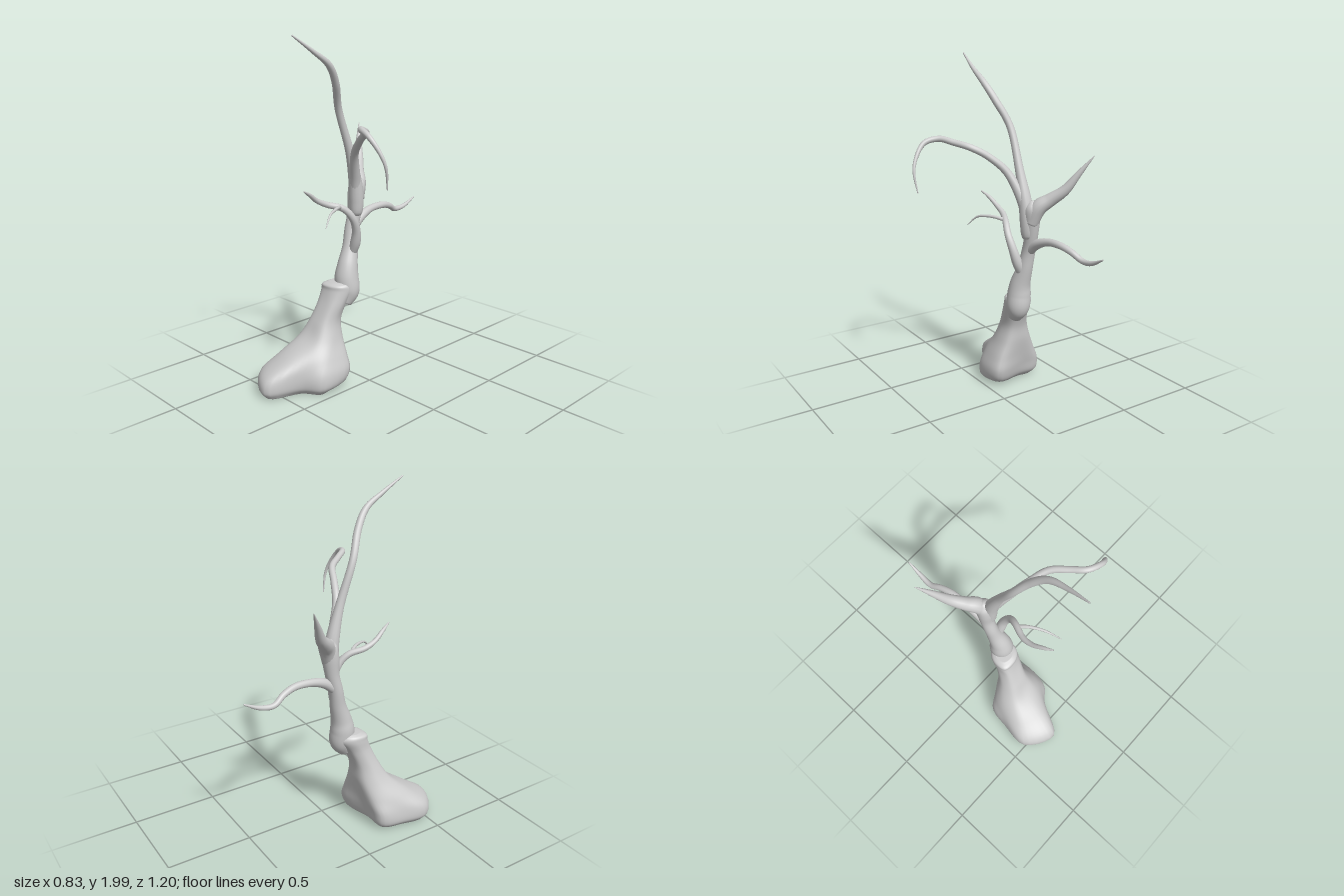
import * as THREE from 'three';

const material = new THREE.MeshStandardMaterial({ color: 0xcccccc, roughness: 0.9 });
const V = (x, y, z) => new THREE.Vector3(x, y, z);
const smoothCurve = (points, closed = false) => new THREE.CatmullRomCurve3(points, closed, 'catmullrom', 0.5);

// Skin a list of equal-sized rings (counter-clockwise about the path) and cap both ends
function skin(name, rings) {
  const sides = rings[0].length, last = rings.length - 1;
  const points = rings.flat();
  const centre = (ring) => ring.reduce((sum, p) => sum.add(p), V(0, 0, 0)).divideScalar(sides);
  const start = points.push(centre(rings[0])) - 1;
  const end = points.push(centre(rings[last])) - 1;
  const index = [];
  for (let j = 0; j < sides; j++) {
    const k = (j + 1) % sides;
    for (let i = 0; i < last; i++) {
      const a = i * sides + j, b = i * sides + k, c = a + sides, d = b + sides;
      index.push(a, b, c, b, d, c);
    }
    index.push(start, k, j, end, last * sides + j, last * sides + k);
  }
  const geometry = new THREE.BufferGeometry().setFromPoints(points);
  geometry.setIndex(index);
  geometry.computeVertexNormals();
  const mesh = new THREE.Mesh(geometry, material);
  mesh.name = name;
  return mesh;
}

// Tapering limb through knots [x, y, z, radius]
function limb(name, knots, steps = 56, sides = 14) {
  const path = smoothCurve(knots.map(([x, y, z]) => V(x, y, z)));
  const girth = smoothCurve(knots.map((k) => V(k[3], 0, 0)));
  const { normals, binormals } = path.computeFrenetFrames(steps);
  const rings = [];
  for (let i = 0; i <= steps; i++) {
    const t = path.getUtoTmapping(i / steps);
    const p = path.getPoint(t), r = Math.max(girth.getPoint(t).x, 0.001);
    rings.push(Array.from({ length: sides }, (_, j) => {
      const a = (j / sides) * Math.PI * 2;
      return p.clone().addScaledVector(normals[i], r * Math.cos(a)).addScaledVector(binormals[i], r * Math.sin(a));
    }));
  }
  return skin(name, rings);
}

// Broad lobed base: each level is y, centre x, centre z, then radii every 45 degrees from +x towards +z
function stump() {
  const levels = [
    [0.01, -0.23, 0.32, 0.17, 0.11, 0.25, 0.22, 0.14, 0.15, 0.11, 0.17],
    [0.05, -0.23, 0.32, 0.20, 0.14, 0.275, 0.25, 0.17, 0.19, 0.15, 0.25],
    [0.12, -0.23, 0.31, 0.20, 0.15, 0.26, 0.24, 0.165, 0.19, 0.16, 0.27],
    [0.20, -0.21, 0.27, 0.16, 0.14, 0.18, 0.19, 0.155, 0.16, 0.14, 0.21],
    [0.30, -0.195, 0.21, 0.115, 0.11, 0.10, 0.125, 0.115, 0.11, 0.10, 0.13],
    [0.40, -0.185, 0.175, 0.085, 0.085, 0.075, 0.09, 0.085, 0.08, 0.075, 0.09],
    [0.50, -0.165, 0.13, 0.08, 0.075, 0.07, 0.09, 0.08, 0.075, 0.07, 0.08],
    [0.57, -0.155, 0.09, 0.08, 0.08, 0.085, 0.105, 0.085, 0.08, 0.09, 0.085],
    [0.60, -0.155, 0.09, 0.075, 0.075, 0.08, 0.10, 0.08, 0.075, 0.08, 0.075],
    [0.615, -0.15, 0.08, 0.05, 0.05, 0.06, 0.07, 0.06, 0.05, 0.05, 0.05],
  ];
  const sides = 40, rows = 54;
  const outlines = levels.map(([y, cx, cz, ...radii]) => smoothCurve(radii.map((r, i) => {
    const a = (i * Math.PI) / 4;
    return V(cx + r * Math.cos(a), y, cz + r * Math.sin(a));
  }), true));
  const columns = Array.from({ length: sides }, (_, j) => smoothCurve(outlines.map((o) => o.getPoint(1 - (j + 1) / sides))));
  const rings = Array.from({ length: rows + 1 }, (_, i) => columns.map((c) => c.getPoint(i / rows)));
  return skin('stump', rings);
}

export function createModel() {
  const tree = new THREE.Group();
  tree.name = 'bareTree';
  tree.add(
    stump(),
    // Upper trunk rising out of the stump
    limb('trunk', [
      [-0.13, 0.48, 0.08, 0.04], [-0.13, 0.55, 0.05, 0.068], [-0.138, 0.63, 0.05, 0.07], [-0.14, 0.7, 0.04, 0.06],
      [-0.15, 0.8, 0.01, 0.046], [-0.16, 0.9, -0.01, 0.04], [-0.16, 1.0, -0.035, 0.04], [-0.157, 1.1, -0.045, 0.048],
      [-0.155, 1.17, -0.055, 0.045], [-0.155, 1.21, -0.055, 0.015],
    ], 64, 24),
    // Tall leader with a rounded knot at its foot
    limb('topBranch', [
      [-0.145, 0.98, -0.03, 0.008], [-0.14, 1.0, -0.03, 0.034], [-0.137, 1.08, -0.03, 0.042], [-0.132, 1.2, -0.015, 0.038],
      [-0.125, 1.38, 0.035, 0.025], [-0.12, 1.6, 0.115, 0.021], [-0.065, 1.75, 0.185, 0.021],
      [-0.032, 1.85, 0.26, 0.018], [-0.03, 1.92, 0.365, 0.012], [-0.042, 2.0, 0.49, 0.004],
    ], 80),
    // Long branch arching over and drooping at the tip
    limb('archingBranch', [
      [-0.14, 1.08, -0.03, 0.03], [-0.115, 1.22, 0.0, 0.03], [-0.06, 1.36, 0.055, 0.023], [0.03, 1.45, 0.1, 0.02],
      [0.12, 1.505, 0.145, 0.019], [0.185, 1.53, 0.225, 0.018], [0.24, 1.547, 0.295, 0.017], [0.32, 1.525, 0.322, 0.015],
      [0.38, 1.45, 0.305, 0.011], [0.405, 1.37, 0.285, 0.008], [0.395, 1.26, 0.265, 0.003],
    ], 80),
    // Thorn-like fork at the back
    limb('forkBranch', [
      [-0.15, 1.08, -0.05, 0.04], [-0.175, 1.17, -0.08, 0.046], [-0.225, 1.22, -0.125, 0.038],
      [-0.28, 1.28, -0.185, 0.029], [-0.33, 1.37, -0.235, 0.018], [-0.39, 1.475, -0.295, 0.002],
    ]),
    // Wavy branch reaching backwards
    limb('rearBranch', [
      [-0.16, 0.91, -0.02, 0.03], [-0.165, 0.965, -0.09, 0.028], [-0.175, 0.995, -0.18, 0.022], [-0.18, 1.0, -0.28, 0.02],
      [-0.195, 0.98, -0.36, 0.018], [-0.215, 0.945, -0.43, 0.016], [-0.212, 0.953, -0.51, 0.013], [-0.21, 0.995, -0.6, 0.004],
    ]),
    // Low front branch and the thin twig splitting from it
    limb('frontBranch', [
      [-0.13, 0.77, 0.015, 0.025], [-0.1, 0.84, 0.015, 0.03], [-0.078, 0.92, 0.028, 0.025], [-0.07, 1.0, 0.065, 0.021],
      [-0.09, 1.06, 0.12, 0.019], [-0.125, 1.088, 0.2, 0.017], [-0.13, 1.12, 0.27, 0.014],
      [-0.115, 1.165, 0.335, 0.011], [-0.095, 1.195, 0.39, 0.004],
    ]),
    limb('frontTwig', [
      [-0.1, 1.065, 0.13, 0.012], [-0.06, 1.08, 0.18, 0.01], [-0.025, 1.08, 0.24, 0.008],
      [0.0, 1.065, 0.295, 0.006], [0.03, 1.01, 0.35, 0.002],
    ], 30, 10),
  );
  return tree;
}
